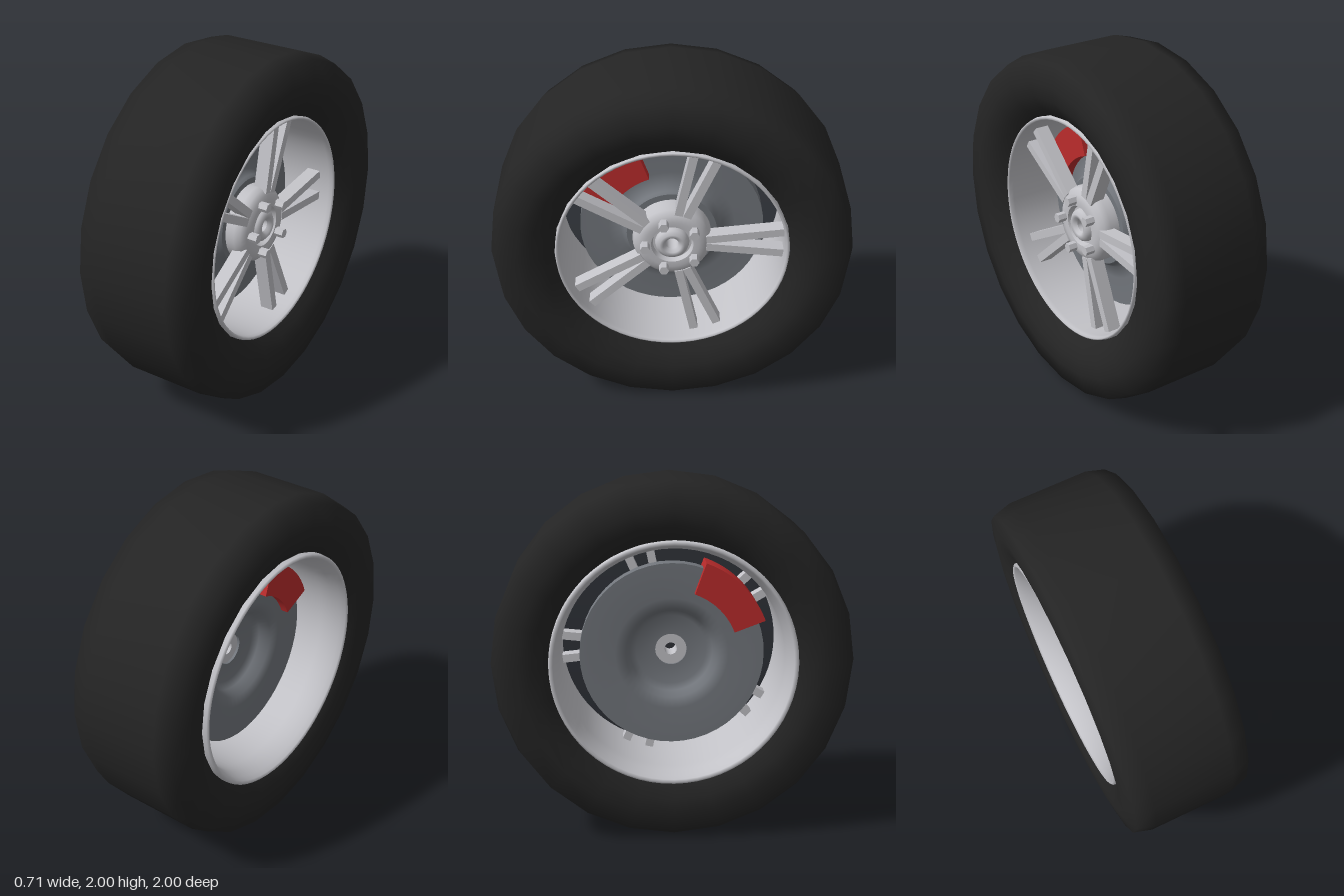
import * as THREE from 'three';
import { mergeGeometries, toCreasedNormals } from 'three/addons/utils/BufferGeometryUtils.js';

const material = (name, color) => {
  const m = new THREE.MeshStandardMaterial({ color });
  m.name = name;
  return m;
};

// Revolves smooth profile runs of [radius, x] around the x axle; edges between runs stay sharp.
function lathe(name, runs, segments, mat) {
  const parts = runs.map(run =>
    new THREE.LatheGeometry(run.map(([r, x]) => new THREE.Vector2(r, x)), segments));
  const mesh = new THREE.Mesh(mergeGeometries(parts).rotateZ(-Math.PI / 2), mat);
  mesh.name = name;
  return mesh;
}

export function createModel() {
  const rubber = material('black rubber', 0x242424);
  const alloy = material('light alloy', 0xc2c2c7);
  const steel = material('disc steel', 0x72767c);
  const red = material('caliper red', 0xbb2c2c);

  const wheel = new THREE.Group();
  wheel.name = 'wheel';
  wheel.position.y = 1;

  // Tyre: mirrored sidewall profile with a flat tread
  const side = [[0.65, 0.265], [0.7, 0.31], [0.77, 0.348], [0.85, 0.355], [0.97, 0.335], [1, 0.23]];
  const tyreProfile = [...side.map(([r, x]) => [r, -x]), ...[...side].reverse()];
  wheel.add(lathe('tyre', [tyreProfile], 24, rubber));

  // Rim barrel with a rolled lip at the inner (-x) end
  wheel.add(lathe('rim', [
    [[0.65, 0.25], [0.643, 0.28], [0.634, 0.285], [0.626, 0.275], [0.625, 0.25],
      [0.625, -0.18], [0.632, -0.25], [0.648, -0.295], [0.658, -0.325], [0.67, -0.335],
      [0.682, -0.325], [0.685, -0.29]],
    [[0.685, -0.29], [0.65, -0.25], [0.65, 0.25]],
  ], 64, alloy));

  // Brake disc with a raised hat, hollow from behind
  wheel.add(lathe('brakeDisc', [
    [[0.09, 0.035], [0.2, 0.03], [0.235, 0], [0.26, -0.06], [0.32, -0.075], [0.52, -0.075]],
    [[0.52, -0.075], [0.52, 0.01]],
    [[0.52, 0.01], [0.36, 0.01], [0.29, 0.02], [0.268, 0.06], [0.255, 0.075]],
    [[0.255, 0.075], [0.09, 0.075]],
    [[0.09, 0.075], [0.09, 0.035]],
  ], 48, steel));

  // Hub with recessed ring and rounded centre cap, bored through
  wheel.add(lathe('hub', [
    [[0.035, 0.05], [0.22, 0.05]],
    [[0.22, 0.05], [0.222, 0.13], [0.212, 0.165], [0.185, 0.19], [0.15, 0.197], [0.118, 0.195]],
    [[0.118, 0.195], [0.108, 0.165]],
    [[0.108, 0.165], [0.096, 0.165]],
    [[0.096, 0.165], [0.09, 0.19], [0.07, 0.208], [0.05, 0.205], [0.035, 0.185]],
    [[0.035, 0.185], [0.035, 0.05]],
  ], 40, alloy));

  // Five pairs of diverging spokes and five hexagonal lug nuts
  const nutGeometry = toCreasedNormals(
    new THREE.CylinderGeometry(0.028, 0.028, 0.065, 6).rotateZ(-Math.PI / 2), 0.5);
  const rootR = 0.19, tipR = 0.622, rootY = 0.024, tipY = 0.07;
  const slope = Math.atan2(tipY - rootY, tipR - rootR);
  const spokeGeometry = new THREE.BoxGeometry(0.08, 0.047, Math.hypot(tipR - rootR, tipY - rootY));
  for (let i = 0; i < 5; i++) {
    const angle = i * Math.PI * 2 / 5;
    const pair = new THREE.Group();
    pair.name = 'spokePair';
    pair.rotation.x = angle;
    for (const s of [-1, 1]) {
      const spoke = new THREE.Mesh(spokeGeometry, alloy);
      spoke.name = 'spoke';
      spoke.position.set(0.15, s * (rootY + tipY) / 2, -(rootR + tipR) / 2);
      spoke.rotation.x = s * slope;
      pair.add(spoke);
    }
    wheel.add(pair);

    const nut = new THREE.Mesh(nutGeometry, alloy);
    nut.name = 'lugNut';
    nut.position.set(0.215, 0.152 * Math.sin(angle), 0.152 * Math.cos(angle));
    wheel.add(nut);
  }

  // Brake caliper: ring sector straddling the disc
  const a0 = 0.36, a1 = 1.225;
  const sector = new THREE.Shape();
  sector.absarc(0, 0, 0.557, a0, a1, false);
  sector.absarc(0, 0, 0.372, a1, a0, true);
  sector.closePath();
  const caliper = new THREE.Mesh(toCreasedNormals(
    new THREE.ExtrudeGeometry(sector, { depth: 0.19, bevelEnabled: false, curveSegments: 12 }), 0.6), red);
  caliper.name = 'brakeCaliper';
  caliper.rotation.y = -Math.PI / 2;
  caliper.position.x = 0.07;
  wheel.add(caliper);

  const model = new THREE.Group();
  model.name = 'wheelAssembly';
  model.add(wheel);
  return model;
}
